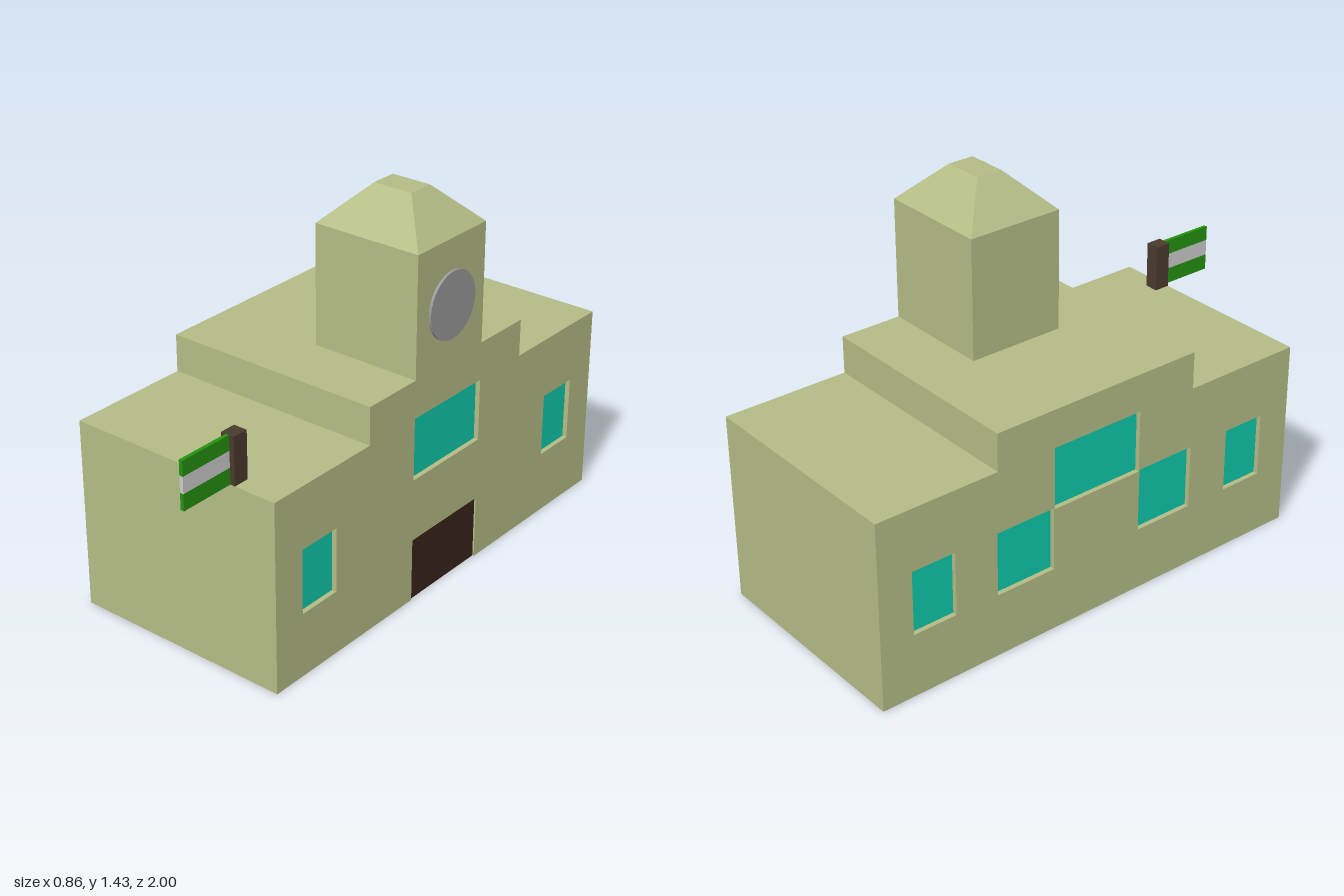
import * as THREE from 'three';

const mat = (color) => new THREE.MeshStandardMaterial({ color, flatShading: true });
const WALL = mat(0xb4bc86), GLASS = mat(0x10c9aa), DOOR = mat(0x382319), CLOCK = mat(0x999999);
const WOOD = mat(0x4a3a2e), GREEN = mat(0x24910f), WHITE = mat(0xdddddd);

// Building extents
const X0 = -0.428, X1 = 0.418, Z0 = -1, Z1 = 0.79, RECESS = 0.02;
const LOW = 0.71, MID = 0.85, TOWER = 1.295;
const TZ0 = -0.29, TZ1 = 0.08, TX0 = -0.005;

// Openings as [z0, z1, y0, y1]
const outerWindows = [[-0.87, -0.7, 0.24, 0.48], [0.49, 0.66, 0.24, 0.48]];
const bigWindow = [TZ0, TZ1, 0.475, 0.708];
const backExtra = [[-0.53, -0.293, 0.24, 0.48], [0.083, 0.32, 0.24, 0.48]];
const door = [TZ0, TZ1, 0, 0.24];

const rect = ([z0, z1, y0, y1]) =>
  [[z0, y0], [z1, y0], [z1, y1], [z0, y1]].map(([z, y]) => new THREE.Vector2(z, y));

export function createModel() {
  const model = new THREE.Group();

  const add = (name, geometry, material, x = 0, y = 0, z = 0, parent = model) => {
    const mesh = new THREE.Mesh(geometry, material);
    mesh.name = name;
    mesh.position.set(x, y, z);
    parent.add(mesh);
    return mesh;
  };
  const box = (name, material, x0, x1, y0, y1, z0, z1, parent) =>
    add(name, new THREE.BoxGeometry(x1 - x0, y1 - y0, z1 - z0), material,
      (x0 + x1) / 2, (y0 + y1) / 2, (z0 + z1) / 2, parent);

  // Side profile in (z, y), extruded across x from x0 to x1
  const slab = (name, points, holes, x0, x1) => {
    const shape = new THREE.Shape(points.map(([z, y]) => new THREE.Vector2(z, y)));
    for (const h of holes) shape.holes.push(new THREE.Path(rect(h)));
    const g = new THREE.ExtrudeGeometry(shape, { depth: x1 - x0, bevelEnabled: false });
    g.rotateY(-Math.PI / 2);
    return add(name, g, WALL, x1);
  };

  const base = [[Z0, 0], [Z1, 0]];
  const doorNotch = [[TZ0, 0], [TZ0, door[3]], [TZ1, door[3]], [TZ1, 0]];
  const frontSteps = [[Z1, LOW], [0.32, LOW], [0.32, MID]];
  const backSteps = [[-0.525, MID], [-0.525, LOW], [Z0, LOW]];
  const towerSteps = [[TZ1, MID], [TZ1, TOWER], [TZ0, TOWER], [TZ0, MID]];

  // Stepped body, with thin outer walls pierced by the openings
  slab('body', [...base, ...frontSteps, ...backSteps], [], X0 + RECESS, X1 - RECESS);
  slab('entranceWall', [base[0], ...doorNotch, base[1], ...frontSteps, ...towerSteps, ...backSteps],
    [...outerWindows, bigWindow], X1 - RECESS, X1);
  slab('rearWall', [...base, ...frontSteps, ...backSteps],
    [...outerWindows, bigWindow, ...backExtra], X0, X0 + RECESS);

  // Clock tower
  box('tower', WALL, TX0, X1 - RECESS, MID, TOWER, TZ0, TZ1);
  const roof = new THREE.BoxGeometry(1, 1, 1);
  const p = roof.attributes.position;
  for (let i = 0; i < p.count; i++) {
    const top = p.getY(i) > 0;
    const [x0, x1, z0, z1] = top ? [0.13, 0.283, -0.157, -0.057] : [TX0, X1, TZ0, TZ1];
    p.setXYZ(i, p.getX(i) > 0 ? x1 : x0, top ? 1.43 : TOWER, p.getZ(i) > 0 ? z1 : z0);
  }
  roof.computeVertexNormals();
  add('towerRoof', roof, WALL);
  const disc = new THREE.CylinderGeometry(0.123, 0.123, 0.02, 40).rotateZ(-Math.PI / 2);
  add('clockFace', disc, CLOCK, X1, 1.058, -0.105);

  // Recessed panes and door
  const pane = 0.002;
  for (const [z0, z1, y0, y1] of [...outerWindows, bigWindow]) {
    box('entranceWindow', GLASS, X1 - RECESS, X1 - RECESS + pane, y0, y1, z0, z1);
  }
  for (const [z0, z1, y0, y1] of [...outerWindows, bigWindow, ...backExtra]) {
    box('rearWindow', GLASS, X0 + RECESS - pane, X0 + RECESS, y0, y1, z0, z1);
  }
  box('door', DOOR, X1 - RECESS, X1 - 0.006, door[2], door[3], door[0], door[1]);

  // Striped flag on its post at the roof edge
  const flag = new THREE.Group();
  flag.name = 'flag';
  model.add(flag);
  box('flagPost', WOOD, 0.205, 0.257, LOW, 0.885, 0.73, Z1, flag);
  [GREEN, WHITE, GREEN].forEach((m, i) => {
    const y = [LOW, 0.77, 0.83, 0.885];
    box('flagStripe', m, 0.224, 0.238, y[i], y[i + 1], Z1, 1, flag);
  });

  return model;
}
